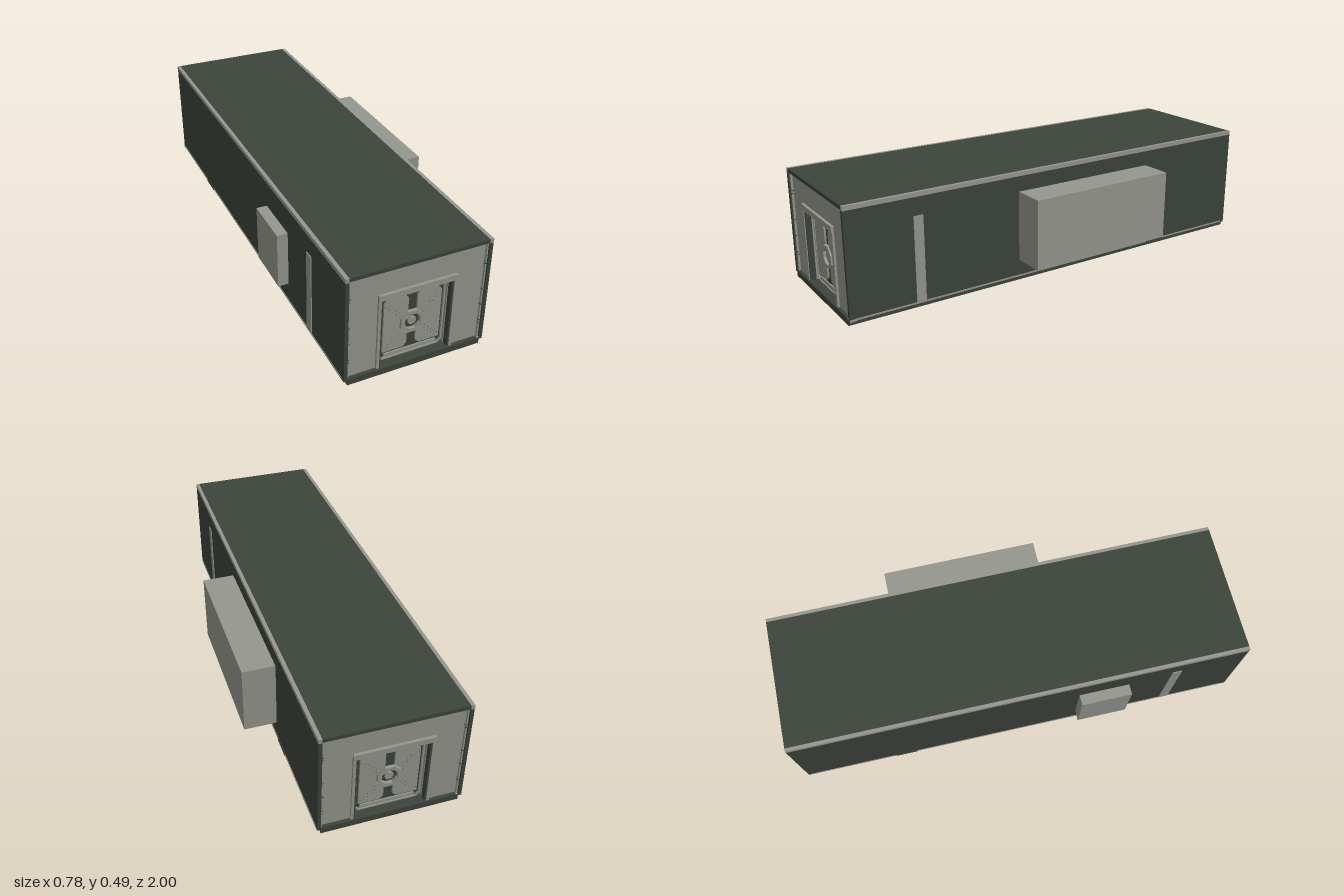
import * as THREE from 'three';

const CX = -0.0475;   // middle of the long hull, offset by the side boxes
const HW = 0.3005;    // hull half width
const IW = 0.2845;    // half width between the corner posts

export function createModel() {
  const dark = new THREE.MeshStandardMaterial({ color: 0x3c443b });
  dark.name = 'dark green';
  const light = new THREE.MeshStandardMaterial({ color: 0x95968d });
  light.name = 'warm grey';

  // Box given by its minimum and maximum corners
  function box(parent, name, mat, x0, x1, y0, y1, z0, z1) {
    const m = new THREE.Mesh(new THREE.BoxGeometry(x1 - x0, y1 - y0, z1 - z0), mat);
    m.position.set((x0 + x1) / 2, (y0 + y1) / 2, (z0 + z1) / 2);
    m.name = name;
    parent.add(m);
    return m;
  }

  // Flat outline extruded forward from z, with optional holes
  function plate(parent, name, mat, pts, z, depth, holes = []) {
    const toV = (list) => list.map(([x, y]) => new THREE.Vector2(x, y));
    const shape = new THREE.Shape(toV(pts));
    holes.forEach((h) => shape.holes.push(new THREE.Path(toV(h))));
    const m = new THREE.Mesh(new THREE.ExtrudeGeometry(shape, { depth, bevelEnabled: false }), mat);
    m.position.z = z;
    m.name = name;
    parent.add(m);
    return m;
  }

  // Rectangle with cut corners
  const chamfered = (x0, x1, y0, y1, c) => [
    [x0 + c, y0], [x1 - c, y0], [x1, y0 + c], [x1, y1 - c],
    [x1 - c, y1], [x0 + c, y1], [x0, y1 - c], [x0, y0 + c],
  ];
  const octagon = (r, cy) => chamfered(-r, r, cy - r, cy + r, r * 0.586);

  // Round-hubbed double door with its surround
  function addDoor(end) {
    const door = new THREE.Group();
    door.name = 'door';
    end.add(door);
    const Z = 0.952, HUB = 0.18;
    box(door, 'doorSlab', dark, -0.153, 0.153, 0.028, 0.345, 0.93, Z);
    plate(door, 'doorRim', light, chamfered(-0.1375, 0.1375, 0.029, 0.337, 0.016), Z, 0.008,
      [chamfered(-0.131, 0.131, 0.034, 0.331, 0.015)]);
    plate(door, 'kickStrip', light, [[-0.116, 0.037], [0.116, 0.037], [0.112, 0.053], [-0.112, 0.053]], Z, 0.006);
    const leaf = [
      [0.034, 0.065], [0.1215, 0.065], [0.1215, 0.291], [0.104, 0.309], [0.034, 0.309], [0.019, 0.293],
      [0.019, 0.232], [0.0215, 0.232], [0.052, 0.2015], [0.052, 0.1585], [0.0215, 0.128], [0.019, 0.128], [0.019, 0.08],
    ];
    for (const s of [-1, 1]) {
      plate(door, 'doorLeaf', light, leaf.map(([x, y]) => [s * x, y]), Z, 0.008);
      // Diagonal rows of rivets running out from the hub
      for (const v of [-1, 1]) {
        for (let i = 0; i < 9; i++) {
          const t = i / 8, off = i % 2 ? 0.004 : -0.004;
          const x = s * (0.052 + 0.058 * t - off), y = HUB + v * (0.043 + 0.058 * t + off);
          box(door, 'rivet', dark, x - 0.0012, x + 0.0012, y - 0.0012, y + 0.0012, Z + 0.007, Z + 0.009);
        }
      }
      // Side frames around the opening
      box(door, 'jamb', light, s * 0.157 - 0.006, s * 0.157 + 0.006, 0.028, 0.345, 0.985, 0.994);
      box(door, 'jambLining', dark, s * 0.148 - 0.004, s * 0.148 + 0.004, 0.028, 0.345, 0.935, 0.99);
      box(door, 'jambBead', light, s * 0.143 - 0.0012, s * 0.143 + 0.0012, 0.028, 0.342, 0.94, 0.965);
    }
    plate(door, 'hubRing', light, octagon(0.049, HUB), Z, 0.014, [octagon(0.033, HUB)]);
    plate(door, 'hubBoss', light, octagon(0.017, HUB), Z, 0.008);
    box(door, 'lintel', light, -0.163, 0.163, 0.344, 0.369, 0.95, 0.997);
  }

  // One end of the hull, facing +z
  function makeEnd(name) {
    const end = new THREE.Group();
    end.name = name;
    plate(end, 'endPanel', light,
      [[-IW, 0.028], [-0.151, 0.028], [-0.151, 0.345], [0.151, 0.345], [0.151, 0.028], [IW, 0.028], [IW, 0.472], [-IW, 0.472]],
      0.935, 0.05);
    addDoor(end);
    for (const s of [-1, 1]) {
      box(end, 'sideTrim', light, s * 0.281 - 0.003, s * 0.281 + 0.003, 0.028, 0.47, 0.98, 0.994);
      for (const y of [0.1, 0.113, 0.19, 0.262, 0.38, 0.392]) {
        box(end, 'trimClip', dark, s * 0.279 - 0.003, s * 0.279 + 0.003, y - 0.0015, y + 0.0015, 0.98, 0.995);
      }
      box(end, 'topClip', dark, s * 0.043 - 0.002, s * 0.043 + 0.002, 0.468, 0.473, 0.98, 0.995);
    }
    box(end, 'topTrim', light, -IW, IW, 0.469, 0.475, 0.98, 0.994);
    box(end, 'cornerFoot', light, 0.276, HW, 0.019, 0.029, 0.97, 1);
    return end;
  }

  const model = new THREE.Group();
  model.name = 'container';
  const hull = new THREE.Group();
  hull.name = 'hull';
  hull.position.x = CX;
  model.add(hull);

  // Floor, roof, and long walls with their rails
  box(hull, 'base', dark, -0.285, 0.285, 0, 0.028, -1, 1);
  box(hull, 'roof', dark, -0.285, 0.285, 0.474, 0.49, -1, 1);
  for (const s of [-1, 1]) {
    const span = (a, b) => (s > 0 ? [a, b] : [-b, -a]);
    box(hull, 'sideWall', dark, ...span(IW, HW - 0.001), 0.02, 0.472, -1, 1);
    box(hull, 'roofRail', light, ...span(0.285, HW), 0.472, 0.49, -1, 1);
    box(hull, 'lowerRail', light, ...span(HW - 0.004, HW + 0.001), 0.023, 0.03, -0.98, 0.98);
    box(hull, 'railGap', dark, ...span(HW - 0.004, HW + 0.002), 0.02, 0.031, -0.59, -0.49);
    box(hull, 'sideStrip', light, ...span(HW - 0.003, HW + 0.003), 0.03, 0.395, 0.672, 0.714);
  }

  // Matching ends
  const front = makeEnd('frontEnd');
  const back = makeEnd('backEnd');
  back.rotation.y = Math.PI;
  hull.add(front, back);

  // Equipment boxes on the sides
  box(model, 'largeSideBox', light, 0.25, 0.392, 0.099, 0.405, -0.465, 0.226);
  box(model, 'smallSideBox', light, -0.393, -0.345, 0.112, 0.359, 0.258, 0.482);

  return model;
}
